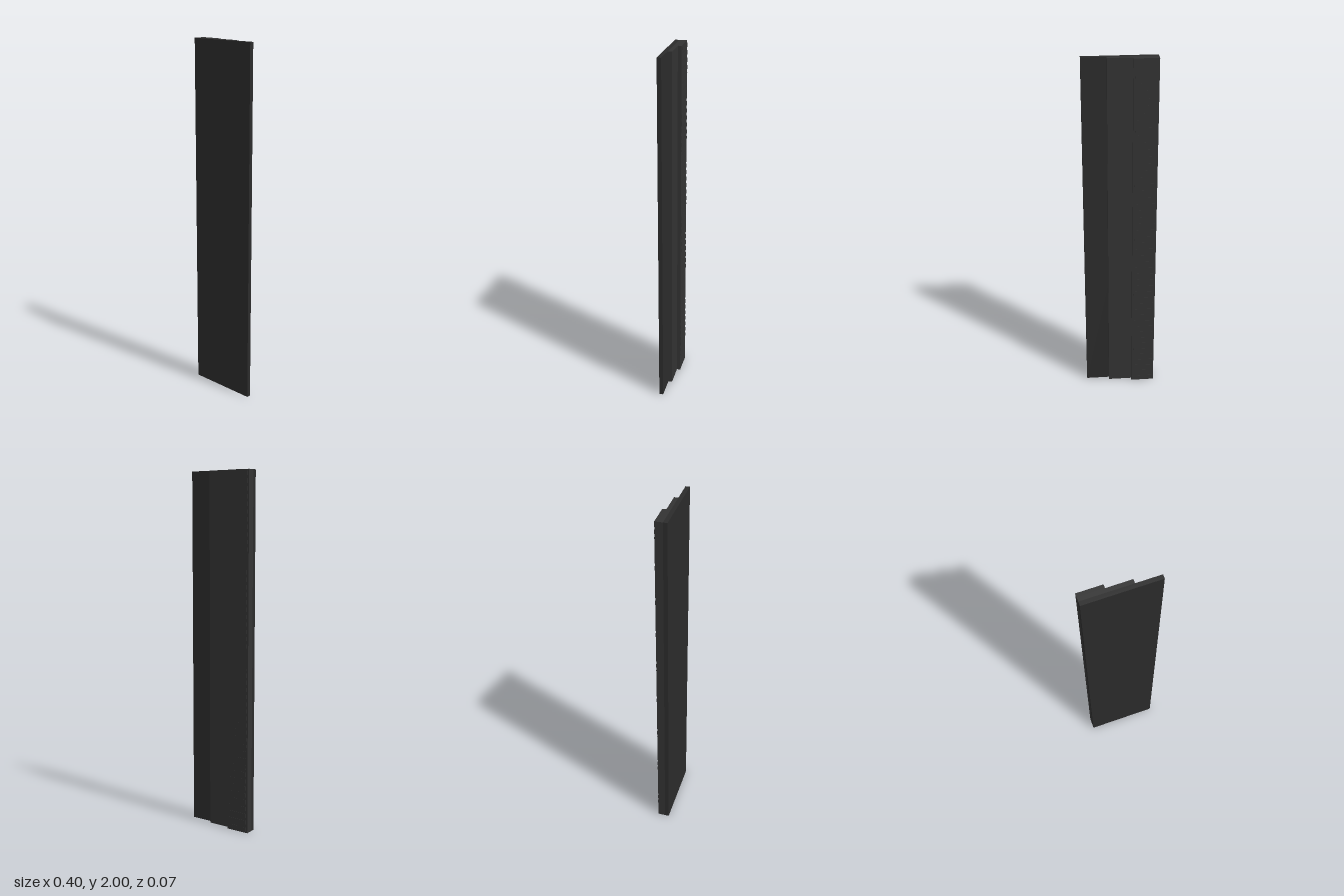
import * as THREE from 'three';

export function createModel() {
  const group = new THREE.Group();
  const dark = new THREE.MeshStandardMaterial({ color: 0x2b2b2b });
  const lighter = new THREE.MeshStandardMaterial({ color: 0x333333 });

  // Full-height slab given by its x and z limits
  function slab(name, x0, x1, z0, z1, material) {
    const mesh = new THREE.Mesh(new THREE.BoxGeometry(x1 - x0, 2, z1 - z0), material);
    mesh.position.set((x0 + x1) / 2, 1, (z0 + z1) / 2);
    mesh.name = name;
    group.add(mesh);
  }

  // Stepped panel: wide front plate, then two narrower layers behind it
  slab('frontPlate', -0.2, 0.2, 0.014, 0.037, dark);
  slab('middleStep', -0.2, 0.067, -0.008, 0.014, lighter);
  slab('backStep', -0.2, -0.067, -0.028, -0.008, lighter);

  // Grip ribs: bars with sloped upper and lower faces, slightly turned
  const profile = new THREE.Shape();
  profile.moveTo(0.002, -0.012);
  profile.lineTo(0.002, 0.012);
  profile.lineTo(-0.008, 0.009);
  profile.lineTo(-0.008, -0.009);
  profile.closePath();
  const ribGeometry = new THREE.ExtrudeGeometry(profile, { depth: 0.113, bevelEnabled: false });
  ribGeometry.translate(0, 0, -0.0565);
  ribGeometry.rotateY(-Math.PI / 2); // extrusion runs along x
  ribGeometry.rotateY(Math.PI); // and back again so the profile lies in z
  const ribs = new THREE.Group();
  ribs.name = 'gripRibs';
  const count = 50;
  for (let i = 0; i < count; i++) {
    const rib = new THREE.Mesh(ribGeometry, lighter);
    rib.name = 'rib';
    rib.position.set(-0.134, 0.02 + (i * 1.96) / (count - 1), -0.0285);
    rib.rotation.y = -0.025;
    ribs.add(rib);
  }
  group.add(ribs);
  return group;
}
